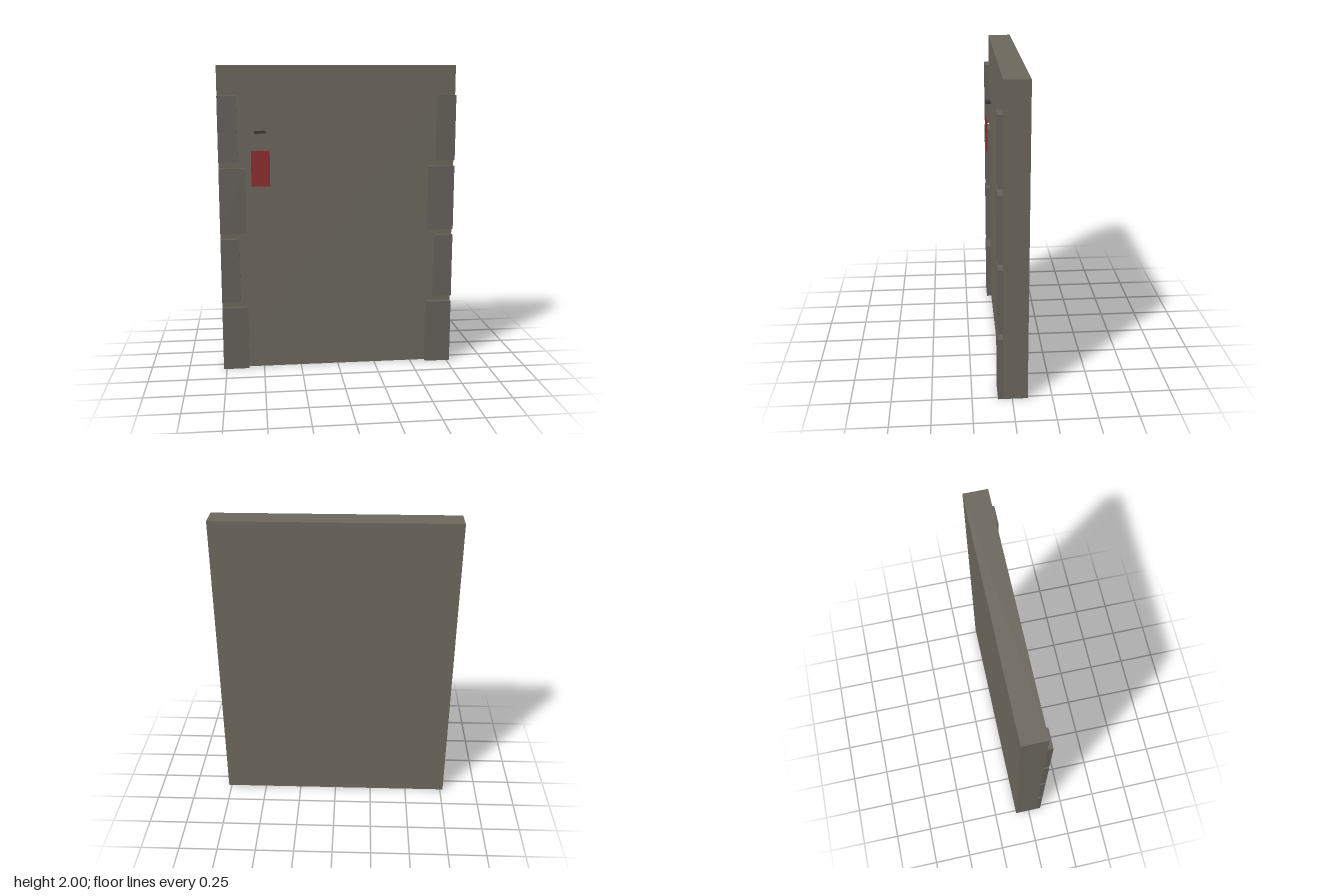
import * as THREE from 'three';

const paint = (color) => new THREE.MeshStandardMaterial({ color });

// Box given by its minimum and maximum corners
function box(name, [x0, y0, z0], [x1, y1, z1], material) {
  const mesh = new THREE.Mesh(new THREE.BoxGeometry(x1 - x0, y1 - y0, z1 - z0), material);
  mesh.position.set((x0 + x1) / 2, (y0 + y1) / 2, (z0 + z1) / 2);
  mesh.name = name;
  return mesh;
}

export function createModel() {
  const model = new THREE.Group();
  model.name = 'wallPanel';
  const wallPaint = paint(0x6b665c);
  const stonePaint = paint(0x645f5a);
  const halfWidth = 0.77, back = -0.096, face = 0.056;

  // Main slab
  model.add(box('wall', [-halfWidth, 0, back], [halfWidth, 2, face], wallPaint));

  // Corner stones, alternately wide and narrow, on both edges
  const stones = new THREE.Group();
  stones.name = 'cornerStones';
  const height = 0.423, pitch = 0.462;
  for (let i = 0; i < 4; i++) {
    const width = i % 2 ? 0.122 : 0.17;
    const y = i * pitch;
    stones.add(
      box('leftStone', [halfWidth - width, y, face], [halfWidth, y + height, 0.089], stonePaint),
      box('rightStone', [-halfWidth, y, face], [-halfWidth + width, y + height, 0.089], stonePaint)
    );
  }
  model.add(stones);

  // Hanging banner and the small bracket above it
  model.add(box('banner', [-0.562, 1.232, 0.084], [-0.442, 1.462, 0.094], paint(0x8b2a2c)));
  model.add(box('bannerBracket', [-0.539, 1.571, 0.058], [-0.465, 1.587, 0.096], paint(0x3a3736)));

  return model;
}
